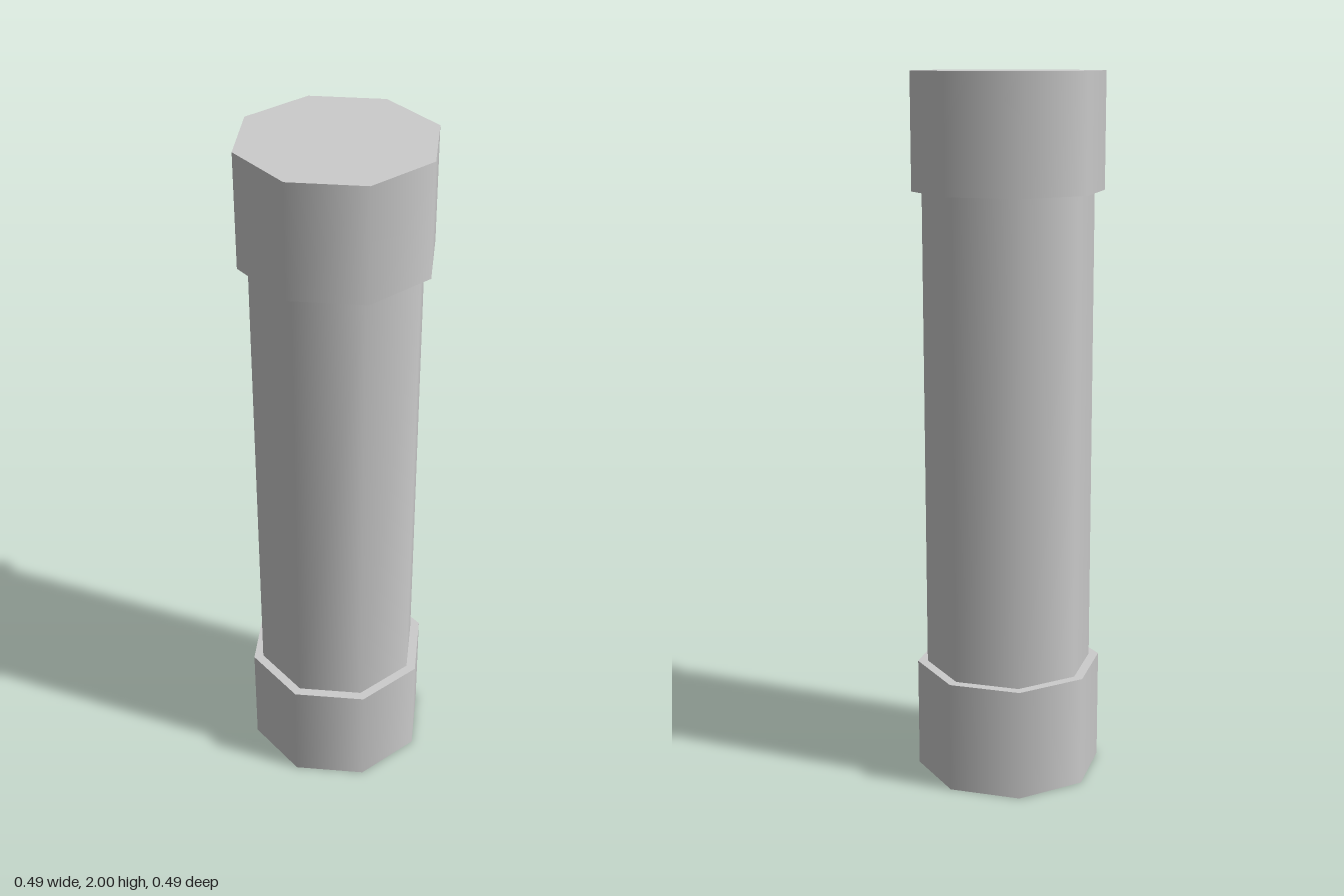
import * as THREE from 'three';

const material = new THREE.MeshStandardMaterial({ color: 0xcccccc });

// Smooth-shaded octagonal prism with flats facing the axes
function octagon(name, halfWidth, bottom, top, open) {
  const radius = halfWidth / Math.cos(Math.PI / 8);
  const geometry = new THREE.CylinderGeometry(radius, radius, top - bottom, 8, 1, open, Math.PI / 8);
  const mesh = new THREE.Mesh(geometry, material);
  mesh.name = name;
  mesh.position.y = (bottom + top) / 2;
  return mesh;
}

export function createModel() {
  const group = new THREE.Group();
  group.name = 'cappedTube';

  // Wider end caps, with the tube seated between them
  group.add(octagon('bottomCap', 0.246, 0, 0.32, false));
  group.add(octagon('tube', 0.22, 0.32, 1.68, true));
  group.add(octagon('topCap', 0.246, 1.68, 2, false));

  return group;
}
